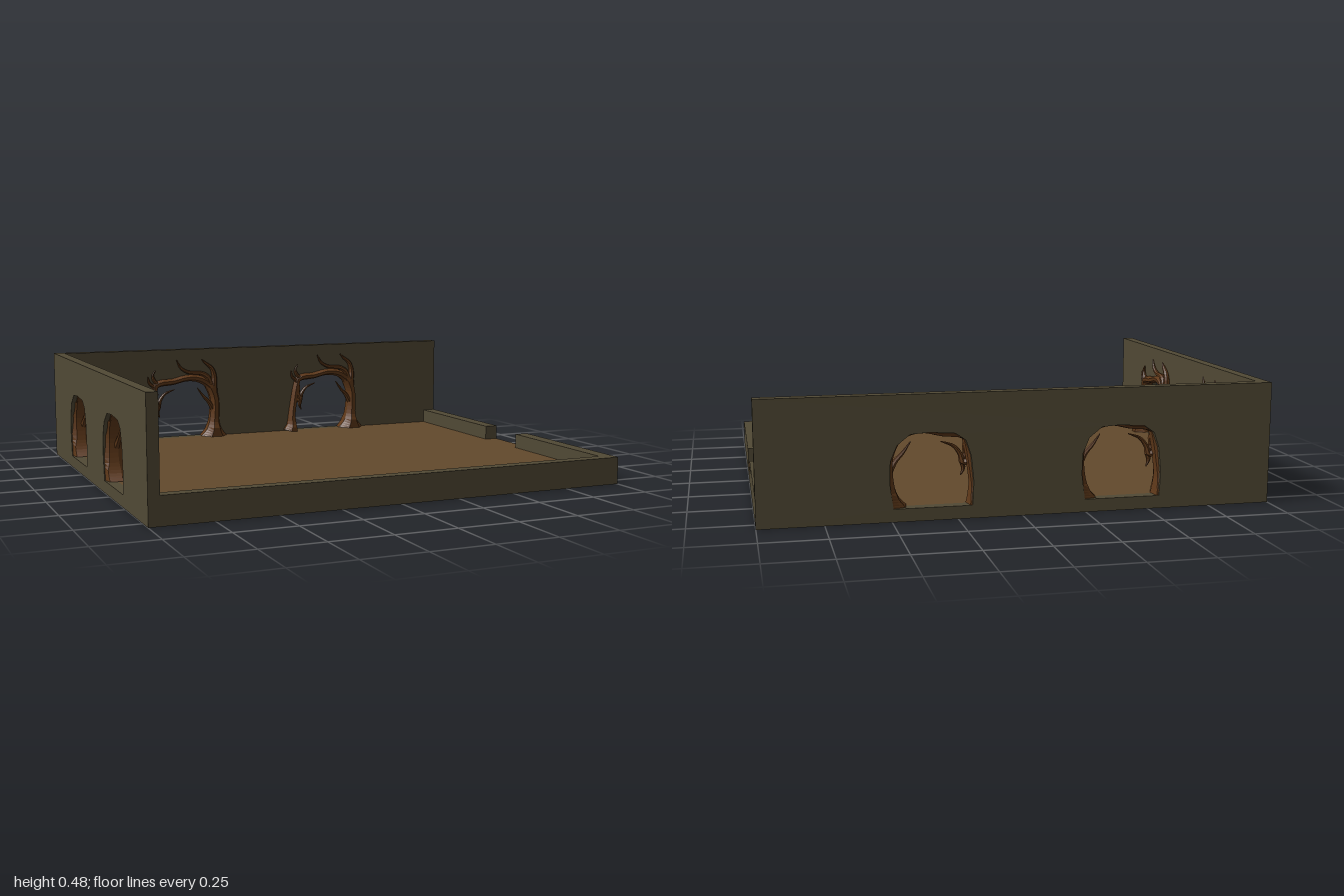
import * as THREE from 'three';

const wallMat = new THREE.MeshStandardMaterial({ color: 0x514935 });
const floorMat = new THREE.MeshStandardMaterial({ color: 0x62492c });
const barkMat = new THREE.MeshStandardMaterial({ color: 0x5e3819, flatShading: true, side: THREE.DoubleSide });

const T = 0.045; // tall wall thickness
const FLOOR = 0.05;

// Box given by its two corners
function box(name, a, b, mat = wallMat) {
  const g = new THREE.BoxGeometry(b[0] - a[0], b[1] - a[1], b[2] - a[2]);
  g.translate((a[0] + b[0]) / 2, (a[1] + b[1]) / 2, (a[2] + b[2]) / 2);
  const m = new THREE.Mesh(g, mat);
  m.name = name;
  return m;
}

// Tapered limb through points [x, y, z, radius]; depth stretches it along z
function limb(name, pts, depth = 1, steps = 14, sides = 7) {
  const path = new THREE.CatmullRomCurve3(pts.map(p => new THREE.Vector3(p[0], p[1], p[2])));
  const size = new THREE.CatmullRomCurve3(pts.map((p, i) => new THREE.Vector3(p[3], i * 0.05, 0)));
  const pos = [], idx = [];
  for (let i = 0; i <= steps; i++) {
    const t = i / steps;
    const p = path.getPoint(t), d = path.getTangent(t), r = size.getPoint(t).x;
    const len = Math.hypot(d.x, d.y);
    for (let j = 0; j < sides; j++) {
      const a = (j / sides) * Math.PI * 2 + 0.3;
      const n = r * Math.cos(a);
      const z = p.z + Math.min(r * depth, 0.06) * Math.sin(a);
      pos.push(p.x - (d.y / len) * n, p.y + (d.x / len) * n, Math.max(z, 0.003));
      if (i < steps) {
        const k = (j + 1) % sides, o = i * sides;
        idx.push(o + j, o + k, o + sides + j, o + k, o + sides + k, o + sides + j);
      }
    }
  }
  const g = new THREE.BufferGeometry();
  g.setAttribute('position', new THREE.Float32BufferAttribute(pos, 3));
  g.setIndex(idx);
  g.computeVertexNormals();
  const m = new THREE.Mesh(g, barkMat);
  m.name = name;
  return m;
}

// Twisted tree framing an opening; z = T is the inner wall face
function treeArch() {
  const g = new THREE.Group();
  g.name = 'treeArch';
  g.add(
    limb('thinTrunk', [
      [-0.185, 0.05, T, 0.04], [-0.18, 0.08, T, 0.026], [-0.178, 0.13, T, 0.019], [-0.168, 0.2, T, 0.017],
      [-0.158, 0.26, T, 0.016], [-0.145, 0.315, T, 0.015]], 2),
    limb('thickTrunk', [
      [0.145, 0.05, T, 0.07], [0.146, 0.08, T, 0.042], [0.148, 0.12, T, 0.027], [0.153, 0.18, T, 0.024],
      [0.15, 0.24, T, 0.023], [0.132, 0.29, T, 0.023], [0.105, 0.325, T, 0.018]], 1.7, 18),
    limb('archBranch', [
      [-0.16, 0.295, T, 0.014], [-0.13, 0.318, T, 0.017], [-0.06, 0.325, T, 0.016], [0.01, 0.34, T, 0.016],
      [0.07, 0.335, T, 0.018], [0.12, 0.305, T, 0.019], [0.145, 0.25, T, 0.015]], 1.9, 18),
    limb('tallBranch', [
      [0.153, 0.22, 0.055, 0.018], [0.145, 0.29, 0.06, 0.017], [0.148, 0.345, 0.06, 0.013],
      [0.135, 0.385, 0.06, 0.01], [0.105, 0.41, 0.06, 0.007], [0.085, 0.43, 0.06, 0.002]], 1.2),
    limb('crownBranch', [
      [0.13, 0.3, 0.06, 0.016], [0.115, 0.34, 0.06, 0.014], [0.08, 0.362, 0.06, 0.011],
      [0.02, 0.368, 0.06, 0.009], [-0.02, 0.39, 0.06, 0.007], [-0.042, 0.43, 0.06, 0.002]], 1.2),
    limb('sideTwig', [
      [-0.165, 0.215, 0.06, 0.012], [-0.148, 0.26, 0.06, 0.012], [-0.155, 0.3, 0.06, 0.009],
      [-0.18, 0.325, 0.06, 0.007], [-0.185, 0.355, 0.06, 0.002]], 1.2, 10),
    limb('upperTwig', [
      [-0.13, 0.31, 0.06, 0.011], [-0.155, 0.335, 0.06, 0.009], [-0.162, 0.36, 0.06, 0.006],
      [-0.148, 0.385, 0.06, 0.002]], 1.2, 8),
    limb('hangingTwig', [
      [-0.165, 0.215, 0.055, 0.014], [-0.14, 0.205, 0.06, 0.014], [-0.13, 0.235, 0.06, 0.01],
      [-0.105, 0.268, 0.06, 0.007], [-0.055, 0.288, 0.06, 0.002]], 1.2, 10),
    limb('droopingTip', [
      [-0.155, 0.245, 0.06, 0.012], [-0.138, 0.21, 0.065, 0.011], [-0.142, 0.18, 0.065, 0.008],
      [-0.13, 0.155, 0.06, 0.002]], 1.2, 8),
    limb('innerTwig', [
      [0.14, 0.185, 0.055, 0.014], [0.118, 0.22, 0.06, 0.01], [0.09, 0.25, 0.06, 0.007],
      [0.06, 0.292, 0.06, 0.002]], 1.2, 10));
  return g;
}

// Tall wall along local x with an opening and a tree at each centre
function tallWall(name, x0, x1, centres) {
  const g = new THREE.Group();
  g.name = name;
  const s = new THREE.Shape([[x0, 0], [x1, 0], [x1, 0.48], [x0, 0.48]].map(p => new THREE.Vector2(...p)));
  const outline = [[-0.165, FLOOR], [-0.17, 0.14], [-0.16, 0.24], [-0.14, 0.3], [-0.1, 0.328], [0, 0.335],
    [0.07, 0.33], [0.12, 0.29], [0.145, 0.23], [0.148, 0.15], [0.135, FLOOR]];
  for (const c of centres) {
    s.holes.push(new THREE.Path(outline.map(([x, y]) => new THREE.Vector2(x + c, y))));
    const tree = treeArch();
    tree.position.x = c;
    g.add(tree);
  }
  const wall = new THREE.Mesh(new THREE.ExtrudeGeometry(s, { depth: T, bevelEnabled: false }), wallMat);
  wall.name = name + 'Panel';
  g.add(wall);
  return g;
}

export function createModel() {
  const model = new THREE.Group();
  model.name = 'room';

  // Floor slab, earth coloured on top
  const sides = [0, 1, 2, 3, 4, 5].map(i => (i === 2 ? floorMat : wallMat));
  model.add(box('floor', [-1 + T, 0, -0.82 + T], [1, FLOOR, 0.82], sides));

  // Tall walls with tree-framed openings
  const back = tallWall('backWall', -1 + T, 1, [-0.38, 0.36]);
  back.position.z = -0.82;
  const side = tallWall('sideWall', -0.82, 0.82, [-0.3, 0.32]);
  side.rotation.y = Math.PI / 2;
  side.position.x = -1;
  model.add(back, side);

  // Low walls, with a doorway gap on one side
  const H = 0.113;
  model.add(
    box('frontLowWall', [-1 + T, FLOOR, 0.77], [1, H, 0.82]),
    box('lowWallNearDoorFront', [0.94, FLOOR, 0.13], [1, H, 0.77]),
    box('lowWallNearDoorBack', [0.94, FLOOR, -0.82 + T], [1, H, -0.135]));
  return model;
}
